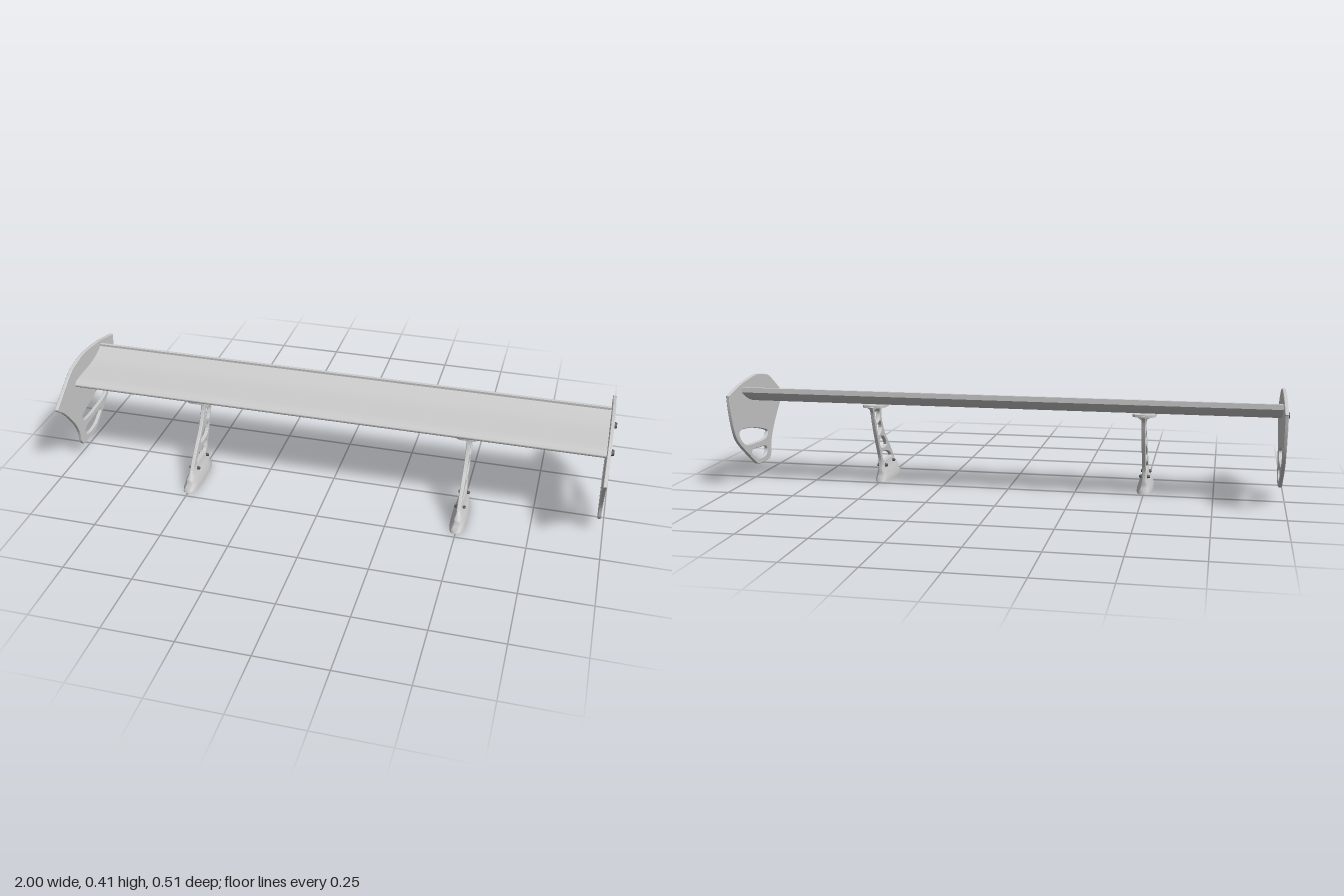
import * as THREE from 'three';
import { toCreasedNormals, mergeVertices } from 'three/addons/utils/BufferGeometryUtils.js';

const grey = new THREE.MeshStandardMaterial({ color: 0xcccccc });
const dark = new THREE.MeshStandardMaterial({ color: 0x555555 });

const vecs = (pts) => pts.map(([z, y]) => new THREE.Vector2(z, y));

function addMesh(parent, name, geometry, material = grey) {
  const mesh = new THREE.Mesh(geometry, material);
  mesh.name = name;
  parent.add(mesh);
  return mesh;
}

// Outline made of smooth runs that meet at sharp corners (each run starts where the last ended)
function outline(runs) {
  const shape = new THREE.Shape();
  shape.moveTo(...runs[0][0]);
  runs.forEach((run, i) => shape.splineThru(vecs(i ? run : run.slice(1))));
  shape.closePath();
  return shape;
}

// Closed hole with softened corners
function roundedHole(pts) {
  const curve = new THREE.CatmullRomCurve3(pts.map(([z, y]) => new THREE.Vector3(z, y, 0)), true);
  return new THREE.Path(curve.getPoints(pts.length * 5).slice(0, -1).map((p) => new THREE.Vector2(p.x, p.y)));
}

// Extrudes a (z, y) shape across x, centred on x = 0
function extrudeAcross(shape, width, bevel = 0, segments = 5) {
  const g = new THREE.ExtrudeGeometry(shape, {
    depth: width - 2 * bevel, curveSegments: segments, bevelEnabled: bevel > 0,
    bevelThickness: bevel, bevelSize: bevel, bevelOffset: -bevel, bevelSegments: 1,
  });
  g.translate(0, 0, -(width - 2 * bevel) / 2).rotateY(-Math.PI / 2);
  return toCreasedNormals(g, 0.6);
}

// Loft of rounded sections; level = [y, half width, rear z, front z], power squares the corners
function loft(levels, power, n = 32) {
  const pos = [], idx = [];
  const soft = (v) => Math.sign(v) * Math.abs(v) ** (2 / power);
  for (const [y, hw, z0, z1] of levels) {
    for (let i = 0; i < n; i++) {
      const a = (i / n) * Math.PI * 2;
      pos.push(hw * soft(Math.sin(a)), y, (z0 + z1) / 2 + ((z1 - z0) / 2) * soft(Math.cos(a)));
    }
  }
  for (let l = 0; l < levels.length - 1; l++) {
    for (let i = 0; i < n; i++) {
      const a = l * n + i, b = l * n + (i + 1) % n;
      idx.push(a, b, b + n, a, b + n, a + n);
    }
  }
  const top = (levels.length - 1) * n;
  for (let i = 1; i < n - 1; i++) idx.push(0, i + 1, i, top, top + i, top + i + 1);
  const g = new THREE.BufferGeometry();
  g.setAttribute('position', new THREE.Float32BufferAttribute(pos, 3));
  g.setIndex(idx);
  return toCreasedNormals(mergeVertices(g), 0.7);
}

// Bolt head pointing outward along side * x
function addBolt(parent, name, x, y, z, radius, height, side) {
  const g = new THREE.CylinderGeometry(radius * 0.7, radius, height, 10).rotateZ(-side * Math.PI / 2);
  addMesh(parent, name, g, dark).position.set(x + side * height / 2, y, z);
}

function makeWing() {
  // Upswept aerofoil with a small lip on the rear edge
  const profile = outline([
    [[-0.147, 0.375], [-0.147, 0.357]],
    [[-0.147, 0.357], [-0.11, 0.335], [-0.07, 0.318], [-0.02, 0.307], [0.04, 0.303], [0.085, 0.306],
      [0.1, 0.316], [0.094, 0.327], [0.075, 0.333], [0.03, 0.336], [-0.03, 0.339], [-0.08, 0.347], [-0.135, 0.367]].slice(1),
    [[-0.135, 0.375]],
    [[-0.147, 0.375]],
  ]);
  return extrudeAcross(profile, 1.955, 0, 4);
}

function makeEndPlate() {
  const shape = outline([
    [[0.252, 0.295], [0.139, 0.37], [0.1, 0.39]],
    [[0.004, 0.405], [-0.102, 0.396], [-0.16, 0.386], [-0.247, 0.364], [-0.253, 0.358]],
    [[-0.246, 0.309], [-0.23, 0.25], [-0.214, 0.21], [-0.198, 0.186], [-0.17, 0.159], [-0.098, 0.107],
      [-0.034, 0.064], [-0.004, 0.056], [0.046, 0.054], [0.093, 0.057]],
    [[0.104, 0.073], [0.109, 0.112], [0.127, 0.154], [0.159, 0.2], [0.204, 0.252], [0.243, 0.284], [0.252, 0.295]],
  ]);
  shape.holes.push(
    roundedHole([[0.077, 0.17], [0.055, 0.179], [-0.025, 0.2], [-0.1, 0.214], [-0.173, 0.216], [-0.18, 0.207],
      [-0.168, 0.184], [-0.141, 0.163], [-0.123, 0.154], [-0.06, 0.147], [0.046, 0.145], [0.07, 0.153]]),
    roundedHole([[0.066, 0.104], [0.055, 0.1125], [-0.007, 0.12], [-0.073, 0.122], [-0.075, 0.1125],
      [-0.048, 0.093], [-0.02, 0.08], [0.046, 0.077], [0.0625, 0.0875]]),
  );
  return extrudeAcross(shape, 0.013, 0.002);
}

function makeStrut() {
  // Forward-raked truss that flares at the top
  const shape = outline([
    [[0.19, 0.055], [0.165, 0.085], [0.12, 0.132], [0.075, 0.175], [0.043, 0.22], [0.026, 0.26], [0.034, 0.287], [0.055, 0.303]],
    [[-0.08, 0.303]],
    [[-0.066, 0.28], [-0.056, 0.25], [-0.036, 0.2], [-0.005, 0.135], [0.016, 0.09], [0.02, 0.055]],
    [[0.19, 0.055]],
  ]);
  shape.holes.push(
    roundedHole([[0.142, 0.08], [0.135, 0.076], [0.045, 0.076], [0.038, 0.082], [0.025, 0.11], [0.03, 0.114], [0.11, 0.1]]),
    roundedHole([[0.085, 0.134], [0.075, 0.13], [0.022, 0.133], [0.01, 0.14], [-0.002, 0.164], [0.0, 0.175], [0.012, 0.178], [0.055, 0.167]]),
    roundedHole([[-0.014, 0.189], [-0.009, 0.188], [0.026, 0.205], [0.028, 0.213], [0.016, 0.234], [0.008, 0.237], [-0.03, 0.226], [-0.031, 0.219]]),
    roundedHole([[-0.036, 0.24], [-0.03, 0.238], [0.005, 0.252], [0.008, 0.26], [0.008, 0.276], [0.0, 0.281], [-0.044, 0.281], [-0.05, 0.276]]),
  );
  return extrudeAcross(shape, 0.014, 0.002);
}

function makeUpright() {
  const upright = new THREE.Group();
  upright.name = 'upright';
  addMesh(upright, 'strut', makeStrut());
  addMesh(upright, 'foot', loft([
    [0, 0.029, 0.01, 0.232], [0.007, 0.029, 0.011, 0.23], [0.02, 0.025, 0.018, 0.214], [0.032, 0.022, 0.02, 0.211],
    [0.042, 0.018, 0.018, 0.207], [0.056, 0.012, 0.019, 0.192], [0.074, 0.009, 0.02, 0.174]], 3.2));
  addMesh(upright, 'mountingFlange', loft([
    [0.284, 0.007, -0.063, 0.03], [0.293, 0.016, -0.064, 0.045], [0.298, 0.026, -0.064, 0.06],
    [0.299, 0.043, -0.064, 0.088], [0.308, 0.043, -0.064, 0.088]], 5));
  for (const side of [-1, 1]) {
    for (const z of [0.05, 0.145]) addBolt(upright, 'footBolt', side * 0.008, 0.059, z, 0.007, 0.012, side);
  }
  return upright;
}

export function createModel() {
  const model = new THREE.Group();
  model.name = 'rearWing';
  addMesh(model, 'wingBlade', makeWing());

  for (const side of [-1, 1]) {
    // End plate with its two fixing bolts
    const end = new THREE.Group();
    end.name = side > 0 ? 'leftEnd' : 'rightEnd';
    addMesh(end, 'endPlate', makeEndPlate()).position.x = side * 0.982;
    addBolt(end, 'plateBolt', side * 0.987, 0.319, 0.07, 0.014, 0.013, side);
    addBolt(end, 'plateBolt', side * 0.987, 0.33, -0.096, 0.014, 0.013, side);
    model.add(end);

    const upright = makeUpright();
    upright.position.x = side * 0.5;
    model.add(upright);
  }
  return model;
}
